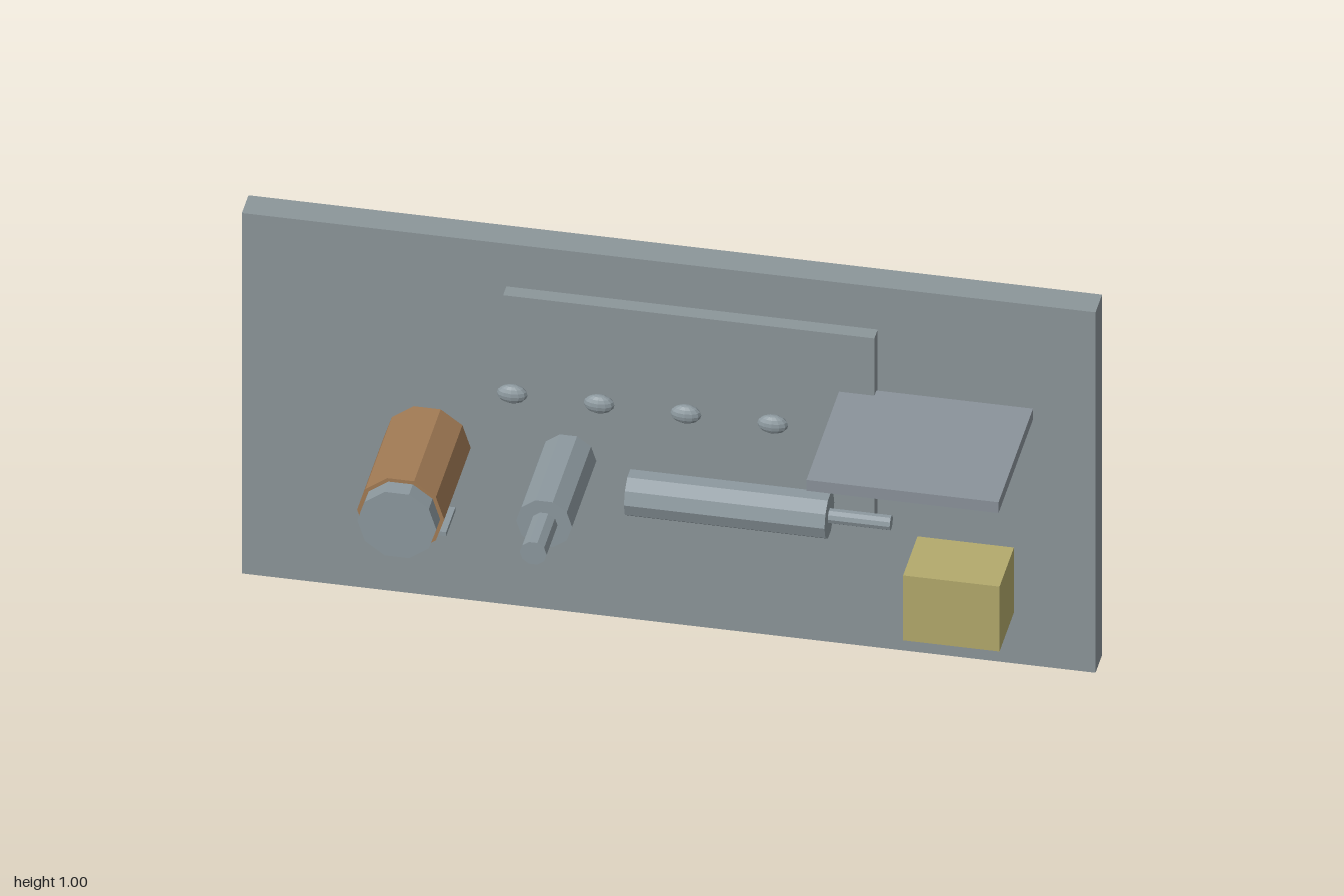
import * as THREE from 'three';

const mat = (name, color, flatShading = true) => {
  const m = new THREE.MeshStandardMaterial({ color, flatShading });
  m.name = name;
  return m;
};

export function createModel() {
  const group = new THREE.Group();
  const steel = mat('steel grey', 0x8c969a);
  const blueSteel = mat('blue grey', 0x8b939b);
  const paleSteel = mat('pale steel', 0x8d999f);
  const copper = mat('copper brown', 0xa27b55);
  const yellow = mat('dull yellow', 0xb3aa6c);

  const add = (name, geometry, material) => {
    const mesh = new THREE.Mesh(geometry, material);
    mesh.name = name;
    group.add(mesh);
    return mesh;
  };
  // Box given by its extents along each axis
  const box = (name, [x0, x1], [y0, y1], [z0, z1], material) =>
    add(name, new THREE.BoxGeometry(x1 - x0, y1 - y0, z1 - z0), material)
      .position.set((x0 + x1) / 2, (y0 + y1) / 2, (z0 + z1) / 2);
  // Ten-sided cylinder along z, corners at its left and right
  const rodZ = (name, r, x, y, z0, z1, material) =>
    add(name, new THREE.CylinderGeometry(r, r, z1 - z0, 10).rotateY(Math.PI / 2).rotateX(Math.PI / 2), material)
      .position.set(x, y, (z0 + z1) / 2);
  // Ten-sided cylinder along x, corners at its front and back
  const rodX = (name, r, x0, x1, y, z, material) =>
    add(name, new THREE.CylinderGeometry(r, r, x1 - x0, 10).rotateZ(Math.PI / 2), material)
      .position.set((x0 + x1) / 2, y, z);

  // Wall and raised panel
  box('wall', [-1, 1], [0, 1], [-0.267, -0.193], steel);
  box('panel', [-0.375, 0.495], [0.385, 0.9], [-0.167, -0.13], steel);

  // Shelf with a plate below it
  box('shelf', [0.412, 0.862], [0.711, 0.741], [-0.152, 0.238], blueSteel);
  box('shelfUnderplate', [0.457, 0.82], [0.7, 0.711], [-0.07, 0.185], blueSteel);

  // Block at lower right
  box('block', [0.587, 0.813], [0.155, 0.335], [-0.173, -0.01], yellow);

  // Copper drum with end cap and a small tray beneath
  rodZ('drum', 0.102, -0.566, 0.4225, -0.193, 0.107, copper);
  rodZ('drumCap', 0.0925, -0.566, 0.4225, 0.107, 0.15, paleSteel);
  box('drumTray', [-0.656, -0.478], [0.315, 0.326], [-0.087, 0.017], paleSteel);

  // Spindle pointing forward
  rodZ('spindle', 0.0655, -0.222, 0.47, -0.193, 0.145, paleSteel);
  rodZ('spindleTip', 0.0315, -0.222, 0.47, 0.145, 0.268, paleSteel);

  // Sideways piston
  rodX('piston', 0.0555, -0.065, 0.405, 0.446, -0.055, paleSteel);
  rodX('pistonRod', 0.018, 0.405, 0.55, 0.446, -0.055, paleSteel);

  // Row of oval knobs
  for (let i = 0; i < 4; i++) {
    add('knob', new THREE.SphereGeometry(1, 12, 8).scale(0.036, 0.024, 0.018), paleSteel)
      .position.set(-0.347 + i * 0.2035, 0.652, -0.098);
  }
  return group;
}
